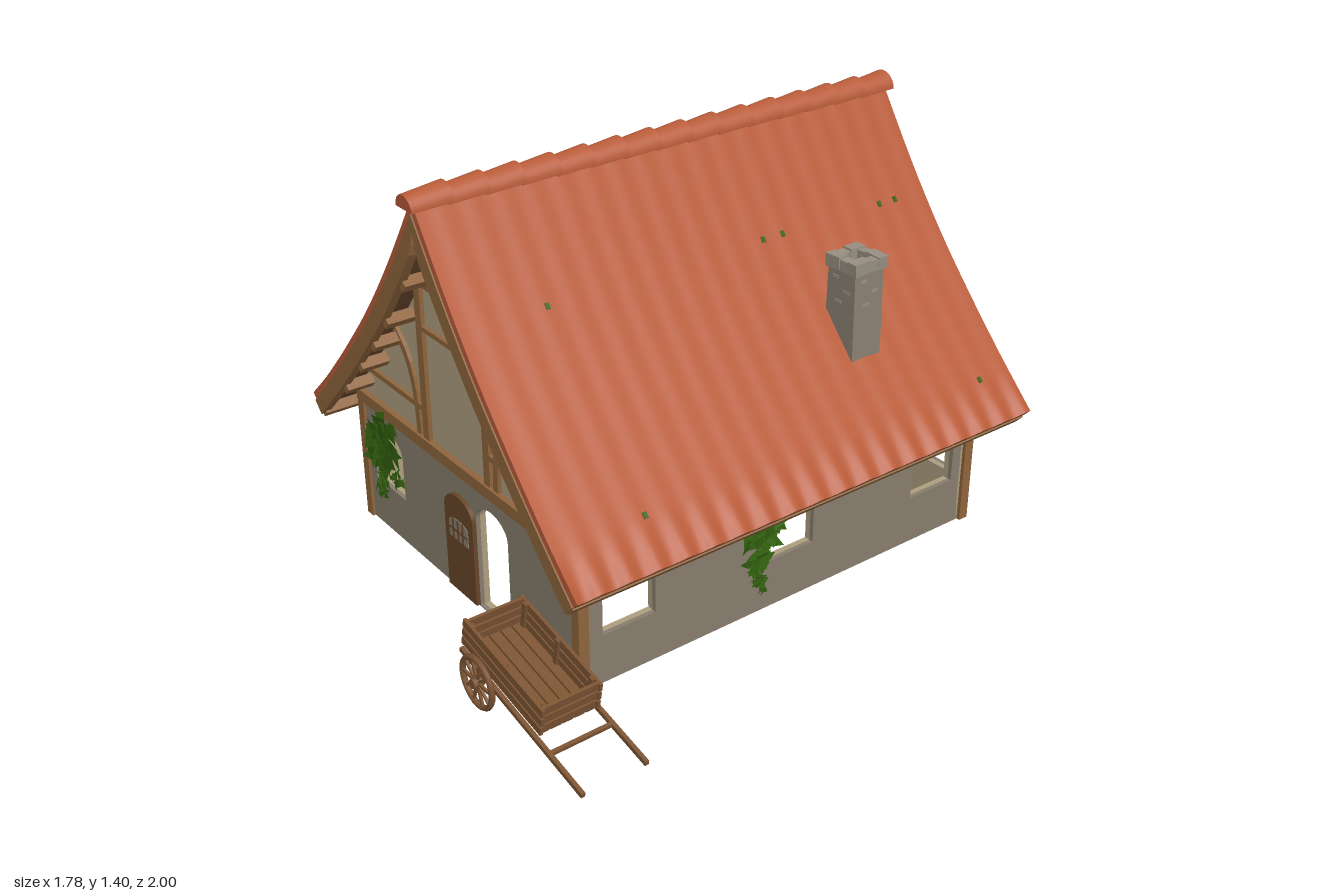
import * as THREE from 'three';
import { toCreasedNormals } from 'three/addons/utils/BufferGeometryUtils.js';

const V2 = (x, y) => new THREE.Vector2(x, y);
const material = (name, color, side = THREE.FrontSide) => {
  const m = new THREE.MeshStandardMaterial({ color, side });
  m.name = name;
  return m;
};
const M = {
  tile: material('roofTile', 0xb85c3a, THREE.DoubleSide),
  timber: material('timber', 0x8e643c),
  dark: material('roofBoards', 0x68472c),
  wall: material('stoneWall', 0x877c6c),
  plaster: material('plaster', 0xad9d7e),
  stone: material('chimneyStone', 0x8a8072),
  cap: material('capStone', 0x968e80),
  door: material('doorWood', 0x664629),
  cart: material('cartWood', 0x7c5433),
  leaf: material('leaf', 0x33620f, THREE.DoubleSide),
};
const CX = -0.118, HALF = 0.625, FRONT = 0.712, BACK = -0.872;
const MID = (FRONT + BACK) / 2, HALFZ = (FRONT - BACK) / 2;

let seed = 11;
const rand = () => (seed = (seed * 16807) % 2147483647) / 2147483647;

function add(parent, name, geo, mat, x = 0, y = 0, z = 0) {
  const m = new THREE.Mesh(geo, mat);
  m.name = name;
  m.position.set(x, y, z);
  parent.add(m);
  return m;
}
const box = (p, name, mat, w, h, d, x, y, z) => add(p, name, new THREE.BoxGeometry(w, h, d), mat, x, y, z);
const extrude = (shape, depth, steps = 1) =>
  new THREE.ExtrudeGeometry(shape, { depth, steps, bevelEnabled: false, curveSegments: 10 });
function group(parent, name, x = 0, y = 0, z = 0) {
  const g = new THREE.Group();
  g.name = name;
  g.position.set(x, y, z);
  parent.add(g);
  return g;
}

// Half roof section: sags gently from ridge to eaves
const roofCurve = new THREE.SplineCurve([V2(0, 1.36), V2(0.154, 1.13), V2(0.308, 0.925),
  V2(0.462, 0.747), V2(0.616, 0.583), V2(0.77, 0.43)]);
const normalAt = (c, t) => { const k = c.getTangent(t); return V2(-k.y, k.x); };
function offsetLine(curve, d, n) {
  return Array.from({ length: n + 1 }, (_, i) => {
    const p = curve.getPoint(i / n), k = normalAt(curve, i / n);
    if (i === 0 && p.x === 0) return V2(0, p.y - d / k.y);
    return V2(Math.max(0, p.x - k.x * d), p.y - k.y * d);
  });
}
// Band between two offsets of a curve; s mirrors it in x
function band(curve, d0, d1, n, s) {
  const pts = [...offsetLine(curve, d0, n), ...offsetLine(curve, d1, n).reverse()];
  return new THREE.Shape(pts.map(p => V2(p.x * s, p.y)));
}

// Opening with a segmental arch on top
function arch(Kind, u, w, y0, y1, rise = 0.065) {
  const s = new Kind(), h = w / 2;
  s.moveTo(u - h, y0);
  s.lineTo(u + h, y0);
  s.lineTo(u + h, y1 - rise);
  s.absellipse(u, y1 - rise, h, rise, 0, Math.PI, false);
  s.lineTo(u - h, y0);
  return s;
}
// Wall with stone outside and plaster inside
function wall(parent, name, half, openings, x, z, turn) {
  const g = group(parent, name, x, 0, z);
  g.rotation.y = turn;
  const s = new THREE.Shape([V2(-half, 0), V2(half, 0), V2(half, 0.465), V2(-half, 0.465)]);
  openings.forEach(([u, w, y0, y1]) => s.holes.push(arch(THREE.Path, u, w, y0, y1)));
  add(g, 'outerWall', extrude(s, 0.015), M.wall, 0, 0, -0.015);
  add(g, 'innerWall', extrude(s, 0.02), M.plaster, 0, 0, -0.035);
}

// Timbered gable, facing local +z
function gable(parent, name, z, turn) {
  const g = group(parent, name, CX, 0, z);
  g.rotation.y = turn;
  const side = offsetLine(roofCurve, 0.045, 14).map(p => V2(Math.min(p.x, 0.64), Math.max(p.y, 0.46)));
  const left = side.slice(1).reverse().map(p => V2(-p.x, p.y));
  add(g, 'gablePlaster', extrude(new THREE.Shape([...left, ...side]), 0.03), M.plaster, 0, 0, -0.032);
  const beam = (n, w, h, x, y, d = 0.024) => box(g, n, M.timber, w, h, d, x, y, 0);
  beam('tieBeam', 1.25, 0.04, 0, 0.468, 0.036);
  beam('collarBeam', 0.4, 0.028, 0, 1.032);
  beam('middleRail', 0.33, 0.016, 0, 0.878);
  beam('kingPost', 0.016, 0.22, 0, 1.15);
  const bend = new THREE.SplineCurve([V2(0.222, 0.49), V2(0.232, 0.62), V2(0.27, 0.735), V2(0.345, 0.815)]);
  for (const s of [1, -1]) {
    beam('gablePost', 0.034, 0.53, s * 0.177, 0.755);
    beam('lowRail', 0.37, 0.018, s * 0.375, 0.592);
    add(g, 'curvedBrace', extrude(band(bend, -0.013, 0.013, 8, s), 0.022), M.timber, 0, 0, -0.011);
    for (const t of [0.09, 0.22, 0.38, 0.5, 0.63, 0.78]) {
      const p = roofCurve.getPoint(t), k = normalAt(roofCurve, t);
      const b = box(g, 'purlinEnd', M.timber, 0.03, 0.035, 0.1, s * (p.x - k.x * 0.078), p.y - k.y * 0.078, 0.045);
      b.rotation.z = -s * Math.atan2(k.x, k.y);
    }
  }
}

function roof(parent) {
  const g = group(parent, 'roof', CX, 0, 0);
  for (const s of [1, -1]) {
    // Tiles ripple along the eaves
    const tiles = extrude(band(roofCurve, 0, 0.026, 20, s), 1.81, 150);
    const p = tiles.attributes.position;
    for (let i = 0; i < p.count; i++) {
      const e = Math.max(0, (Math.abs(p.getX(i)) - 0.66) / 0.11);
      const a = (0.0008 + 0.006 * e) * Math.sin(p.getZ(i) * Math.PI * 20);
      p.setXY(i, p.getX(i) + s * a, p.getY(i) + a);
    }
    add(g, 'tiles', toCreasedNormals(tiles, 0.6), M.tile, 0, 0, -0.995);
    add(g, 'roofBoards', extrude(band(roofCurve, 0.026, 0.05, 14, s), 1.78), M.dark, 0, 0, -0.98);
    for (const z of [-1, 0.79])
      add(g, 'bargeBoard', extrude(band(roofCurve, 0.022, 0.075, 16, s), 0.03), M.timber, 0, 0, z);
    const eave = box(g, 'eaveBoard', M.timber, 0.03, 0.045, 1.8, s * 0.72, 0.393, -0.09);
    eave.rotation.z = -s * 0.77;
  }
  // Overlapping ridge tiles
  for (let i = 0; i < 15; i++) {
    const r = new THREE.CylinderGeometry(0.045, 0.052, 0.135, 12, 1, false, Math.PI / 2, Math.PI);
    r.rotateX(Math.PI / 2 + 0.06);
    add(g, 'ridgeTile', r, M.tile, 0, 1.342, 0.77 - i * 0.1215);
  }
  // Moss tufts
  for (const [s, t, z] of [[1, 0.29, 0.52], [1, 0.29, -0.29], [1, 0.29, -0.37], [1, 0.29, -0.79], [1, 0.29, -0.86],
    [1, 0.85, -0.86], [1, 0.85, 0.5], [-1, 0.29, 0.1], [-1, 0.3, 0.16], [-1, 0.85, -0.6], [-1, 0.8, 0.5]]) {
    const p = roofCurve.getPoint(t), k = normalAt(roofCurve, t);
    box(g, 'moss', M.leaf, 0.02, 0.006, 0.014, s * p.x, p.y + 0.001, z).rotation.z = -s * Math.atan2(k.x, k.y);
  }
}

function chimney(parent) {
  const g = group(parent, 'chimney', 0.335, 0, -0.475);
  const sq = (K, h) => new K([V2(-h, -h), V2(h, -h), V2(h, h), V2(-h, h)]);
  const s = sq(THREE.Shape, 0.06);
  s.holes.push(sq(THREE.Path, 0.034));
  const geo = extrude(s, 0.3).rotateX(-Math.PI / 2), p = geo.attributes.position;
  for (let i = 0; i < p.count; i++) {
    if (p.getY(i) > 0.1) p.setY(i, 0.985);
    else {
      p.setX(i, p.getX(i) * 1.08);
      p.setY(i, roofCurve.getPoint((p.getX(i) + 0.335 - CX) / 0.77).y - 0.015);
    }
  }
  geo.computeVertexNormals();
  add(g, 'shaft', geo, M.stone);
  // Ring of cap stones
  for (let i = 0; i < 4; i++) {
    const ring = group(g, 'capStones');
    ring.rotation.y = i * Math.PI / 2;
    box(ring, 'capStone', M.cap, 0.062, 0.042, 0.038, -0.036, 0.998, 0.05).rotation.z = 0.04;
    box(ring, 'capStone', M.cap, 0.036, 0.036, 0.034, 0.014, 0.996, 0.049).rotation.z = -0.05;
    for (const [x, y] of [[-0.025, 0.95], [0.025, 0.91], [-0.01, 0.87]])
      box(ring, 'brickFace', M.cap, 0.028, 0.011, 0.006, x, y, 0.0595);
  }
}

function door(parent) {
  const g = group(parent, 'door', -0.122, 0, 0.713);
  add(g, 'doorLeaf', extrude(arch(THREE.Shape, 0, 0.166, 0.008, 0.365, 0.06), 0.014), M.door);
  add(g, 'doorWindow', extrude(arch(THREE.Shape, 0, 0.11, 0.205, 0.28, 0.02), 0.003), M.wall, 0, 0, 0.0135);
  for (const x of [-0.028, 0, 0.028]) box(g, 'windowBar', M.door, 0.007, 0.075, 0.006, x, 0.242, 0.016);
  box(g, 'windowBar', M.door, 0.11, 0.007, 0.006, 0, 0.24, 0.016);
}

function cart(parent) {
  const g = group(parent, 'cart', 0, 0, 0.86);
  const b = group(g, 'cartBody', 0.478, 0.155, 0);
  b.rotation.z = -0.19;
  for (let i = 0; i < 5; i++) box(b, 'floorBoard', M.cart, 0.39, 0.01, 0.034, 0, -0.046, -0.078 + i * 0.039);
  for (const s of [1, -1]) {
    for (const y of [-0.03, 0.004, 0.038]) {
      box(b, 'sideSlat', M.cart, 0.41, 0.027, 0.01, 0, y, s * 0.096);
      box(b, 'endSlat', M.cart, 0.01, 0.027, 0.19, s * 0.193, y, 0);
    }
    for (const x of [-0.17, 0, 0.17]) box(b, 'sidePost', M.cart, 0.018, 0.1, 0.008, x, 0, s * 0.087);
    box(b, 'handle', M.cart, 0.62, 0.015, 0.013, 0.115, -0.058, s * 0.106).rotation.z = -0.01;
    // Spoked wheels
    const w = group(g, 'wheel', 0.383, 0.09, s * 0.122);
    add(w, 'rim', new THREE.TorusGeometry(0.079, 0.0095, 6, 24), M.cart);
    add(w, 'hub', new THREE.CylinderGeometry(0.016, 0.016, 0.035, 10).rotateX(Math.PI / 2), M.cart);
    for (let i = 0; i < 5; i++) box(w, 'spokes', M.cart, 0.155, 0.008, 0.008, 0, 0, 0).rotation.z = i * Math.PI / 5;
  }
  box(b, 'crossBar', M.cart, 0.012, 0.012, 0.21, 0.262, -0.058, 0);
  add(g, 'axle', new THREE.CylinderGeometry(0.008, 0.008, 0.24, 8).rotateX(Math.PI / 2), M.cart, 0.383, 0.09, 0);
}

// Creeper of pointed leaves; each clump is [u, v, radius, leaf count, leaf size]
function creeper(parent, name, clumps, x, z, turn) {
  const pos = [];
  for (const [u, v, r, n, size] of clumps) for (let i = 0; i < n; i++) {
    const a = rand() * 6.28, q = r * Math.sqrt(rand()), t = rand() * 6.28;
    const cu = u + q * Math.cos(a), cv = v + q * Math.sin(a), cz = 0.004 + rand() * 0.02;
    for (let k = 0; k < 3; k++) {
      const f = t + k * 2.1 + rand() * 0.5, l = size * (0.55 + 0.5 * rand());
      pos.push(cu + l * Math.cos(f), cv + l * Math.sin(f), cz + (rand() - 0.3) * 0.025);
    }
  }
  const geo = new THREE.BufferGeometry();
  geo.setAttribute('position', new THREE.Float32BufferAttribute(pos, 3));
  geo.computeVertexNormals();
  add(parent, name, geo, M.leaf, x, 0, z).rotation.y = turn;
}

export function createModel() {
  const model = new THREE.Group();
  model.name = 'cottage';
  const win = u => [u, 0.19, 0.168, 0.385];
  // Walls
  wall(model, 'frontWall', HALF, [win(-0.585 - CX), [0.05 - CX, 0.18, 0.004, 0.387]], CX, FRONT, 0);
  wall(model, 'backWall', HALF, [win(CX - 0.36), win(CX + 0.27)], CX, BACK, Math.PI);
  wall(model, 'leftWall', HALFZ, [0.535, -0.085, -0.705].map(z => win(MID - z)), CX + HALF, MID, Math.PI / 2);
  wall(model, 'rightWall', HALFZ, [0.24, -0.39].map(z => win(z - MID)), CX - HALF, MID, -Math.PI / 2);
  // Corner posts and wall plates
  for (const s of [1, -1]) {
    for (const z of [FRONT - 0.008, BACK + 0.008])
      box(model, 'cornerPost', M.timber, 0.036, 0.46, 0.036, CX + s * 0.6195, 0.23, z);
    box(model, 'wallPlate', M.timber, 0.04, 0.035, 2 * HALFZ, CX + s * 0.612, 0.467, MID);
  }
  gable(model, 'frontGable', FRONT, 0);
  gable(model, 'backGable', BACK, Math.PI);
  roof(model);
  chimney(model);
  door(model);
  cart(model);
  creeper(model, 'frontCreeper', [[-0.59, 0.33, 0.08, 40, 0.055], [-0.55, 0.43, 0.03, 8, 0.05], [-0.64, 0.28, 0.035, 12, 0.045],
    [-0.61, 0.19, 0.022, 14, 0.024], [-0.61, 0.145, 0.015, 8, 0.02], [-0.5, 0.25, 0.022, 12, 0.022]], 0, 0.714, 0);
  creeper(model, 'sideCreeper', [[-0.04, 0.3, 0.06, 28, 0.05], [-0.06, 0.2, 0.035, 14, 0.04],
    [-0.05, 0.13, 0.018, 12, 0.024], [-0.05, 0.1, 0.01, 6, 0.02]], CX + HALF + 0.002, 0, Math.PI / 2);
  return model;
}
